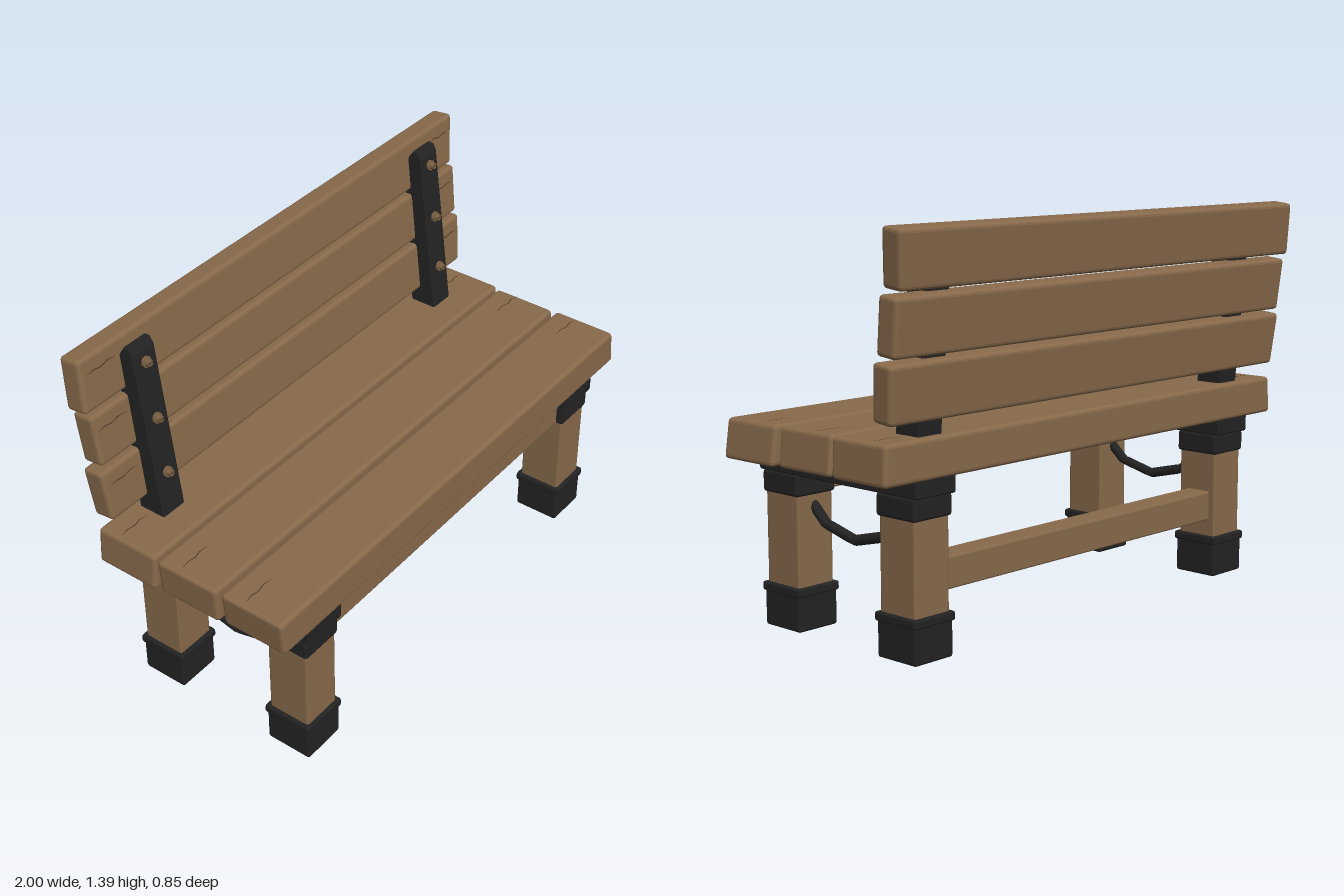
import * as THREE from 'three';
import { RoundedBoxGeometry } from 'three/addons/geometries/RoundedBoxGeometry.js';

const material = (name, color) => {
  const m = new THREE.MeshStandardMaterial({ color });
  m.name = name;
  return m;
};

export function createModel() {
  const wood = material('wood', 0x886a4b);
  const metal = material('dark metal', 0x232323);
  const boltMetal = material('bolt bronze', 0x7d6145);
  const grain = material('wood crack', 0x4c3926);

  const bench = new THREE.Group();
  bench.name = 'bench';

  const add = (parent, name, geometry, mat, x = 0, y = 0, z = 0) => {
    const mesh = new THREE.Mesh(geometry, mat);
    mesh.name = name;
    mesh.position.set(x, y, z);
    parent.add(mesh);
    return mesh;
  };

  // Box given by its y and z ranges
  const block = (parent, name, mat, x, w, [y0, y1], [z0, z1], r = 0.008) =>
    add(parent, name, new RoundedBoxGeometry(w, y1 - y0, z1 - z0, 1, r), mat,
      x, (y0 + y1) / 2, (z0 + z1) / 2);

  // Bevelled plank whose ends are cut askew: x at [left bottom, left top, right bottom, right top]
  const plankGeometry = (h, d, [lb, lt, rb, rt]) => {
    const g = new RoundedBoxGeometry(2, h, d, 2, 0.014);
    const p = g.attributes.position;
    for (let i = 0; i < p.count; i++) {
      const t = p.getY(i) / h + 0.5;
      const left = lb + (lt - lb) * t, right = rb + (rt - rb) * t;
      p.setX(i, left + (right - left) * (p.getX(i) + 1) / 2);
    }
    g.computeVertexNormals();
    return g;
  };

  // Thin jagged cracks near a plank end, running along x
  const crackGeometry = (dir) => {
    const line = [[0, 0], [0.03, 0.006], [0.06, 0.001], [0.09, 0.008], [0.13, 0.004]];
    const upper = line.map(([x, y], i) => new THREE.Vector2(x * dir, y + (i % 4 ? 0.002 : 0.0005)));
    const lower = line.map(([x, y], i) => new THREE.Vector2(x * dir, y - (i % 4 ? 0.002 : 0.0005)));
    return new THREE.ShapeGeometry(new THREE.Shape([...upper, ...lower.reverse()]));
  };
  const addCracks = (plank, onTop, offset) => {
    const holder = new THREE.Group();
    holder.name = 'cracks';
    holder.position.set(0, onTop ? offset : 0, onTop ? 0 : offset);
    if (onTop) holder.rotation.x = -Math.PI / 2;
    for (const s of [-1, 1]) add(holder, 'crack', crackGeometry(-s), grain, s * 0.965, 0.035, 0);
    plank.add(holder);
  };

  // Seat planks
  const seat = [
    [0.302, [-0.975, -0.99, 0.998, 0.978]],
    [0.04, [-0.985, -0.993, 0.985, 0.972]],
    [-0.22, [-0.995, -0.985, 0.99, 0.985]],
  ];
  for (const [z, ends] of seat) {
    const plank = add(bench, 'seatPlank', plankGeometry(0.135, 0.245, ends), wood, 0, 0.658, z);
    addCracks(plank, true, 0.0685);
  }

  // Backrest slats, leaning back
  const slats = [
    [0.877, -0.323, [-0.982, -0.995, 0.975, 0.992]],
    [1.083, -0.35, [-0.978, -0.985, 0.982, 0.988]],
    [1.288, -0.375, [-1, -0.99, 0.975, 0.997]],
  ];
  for (const [y, z, ends] of slats) {
    const slat = add(bench, 'backSlat', plankGeometry(0.19, 0.082, ends), wood, 0, y, z);
    slat.rotation.x = -0.11;
    addCracks(slat, false, 0.042);
  }

  // Stretchers: high between the front legs, low between the rear legs
  block(bench, 'frontApron', wood, 0, 1.42, [0.46, 0.572], [0.28, 0.38]);
  block(bench, 'rearStretcher', wood, 0, 1.42, [0.21, 0.32], [-0.29, -0.19]);

  // Side profile of a back post, as (z, y)
  const postProfile = [[-0.195, 0.64], [-0.3, 0.64], [-0.312, 0.73], [-0.352, 1.2],
    [-0.342, 1.325], [-0.318, 1.36], [-0.298, 1.36], [-0.284, 1.335]];
  const postShape = new THREE.Shape(postProfile.map(([z, y]) => new THREE.Vector2(-z, y)));

  for (const side of [-1, 1]) {
    const x = side * 0.767;
    const frame = new THREE.Group();
    frame.name = side > 0 ? 'leftFrame' : 'rightFrame';
    bench.add(frame);

    // Beam under the seat
    block(frame, 'seatBeam', metal, x, 0.174, [0.535, 0.6], [-0.338, 0.42]);

    // Legs with collar, foot and foot rim
    for (const z of [0.32, -0.235]) {
      block(frame, 'leg', wood, x, 0.152, [0.05, 0.5], [z - 0.08, z + 0.08]);
      block(frame, 'legCollar', metal, x, 0.17, [0.46, 0.538], [z - 0.088, z + 0.088], 0.012);
      block(frame, 'foot', metal, x, 0.168, [0, 0.14], [z - 0.088, z + 0.088], 0.01);
      block(frame, 'footRim', metal, x, 0.18, [0.12, 0.152], [z - 0.094, z + 0.094]);
    }

    // Sagging rod between the legs, in straight segments
    const path = new THREE.CurvePath();
    const points = [[0.44, 0.265], [0.37, 0.185], [0.335, 0.043], [0.37, -0.1], [0.44, -0.18]]
      .map(([y, z]) => new THREE.Vector3(x, y, z));
    for (let i = 1; i < points.length; i++) path.add(new THREE.LineCurve3(points[i - 1], points[i]));
    add(frame, 'braceRod', new THREE.TubeGeometry(path, 24, 0.018, 8), metal);

    // Back post
    const postGeometry = new THREE.ExtrudeGeometry(postShape, {
      depth: 0.09, bevelEnabled: true, bevelThickness: 0.006, bevelSize: 0.004, bevelOffset: -0.004, bevelSegments: 1,
    });
    postGeometry.translate(0, 0, -0.045).rotateY(Math.PI / 2);
    add(frame, 'backPost', postGeometry, metal, x);

    // Slotted bolts on the post
    for (const [y, z] of [[0.88, -0.224], [1.087, -0.251], [1.295, -0.278]]) {
      const bolt = new THREE.Group();
      bolt.name = 'bolt';
      bolt.position.set(x, y, z);
      bolt.rotation.x = -0.13;
      add(bolt, 'boltWasher', new THREE.CylinderGeometry(0.019, 0.019, 0.016, 12).rotateX(Math.PI / 2), boltMetal);
      add(bolt, 'boltHead', new THREE.CylinderGeometry(0.012, 0.015, 0.02, 8).rotateX(Math.PI / 2), boltMetal, 0, 0, 0.012);
      add(bolt, 'boltSlot', new THREE.BoxGeometry(0.02, 0.004, 0.002), grain, 0, 0, 0.022);
      frame.add(bolt);
    }
  }

  return bench;
}
